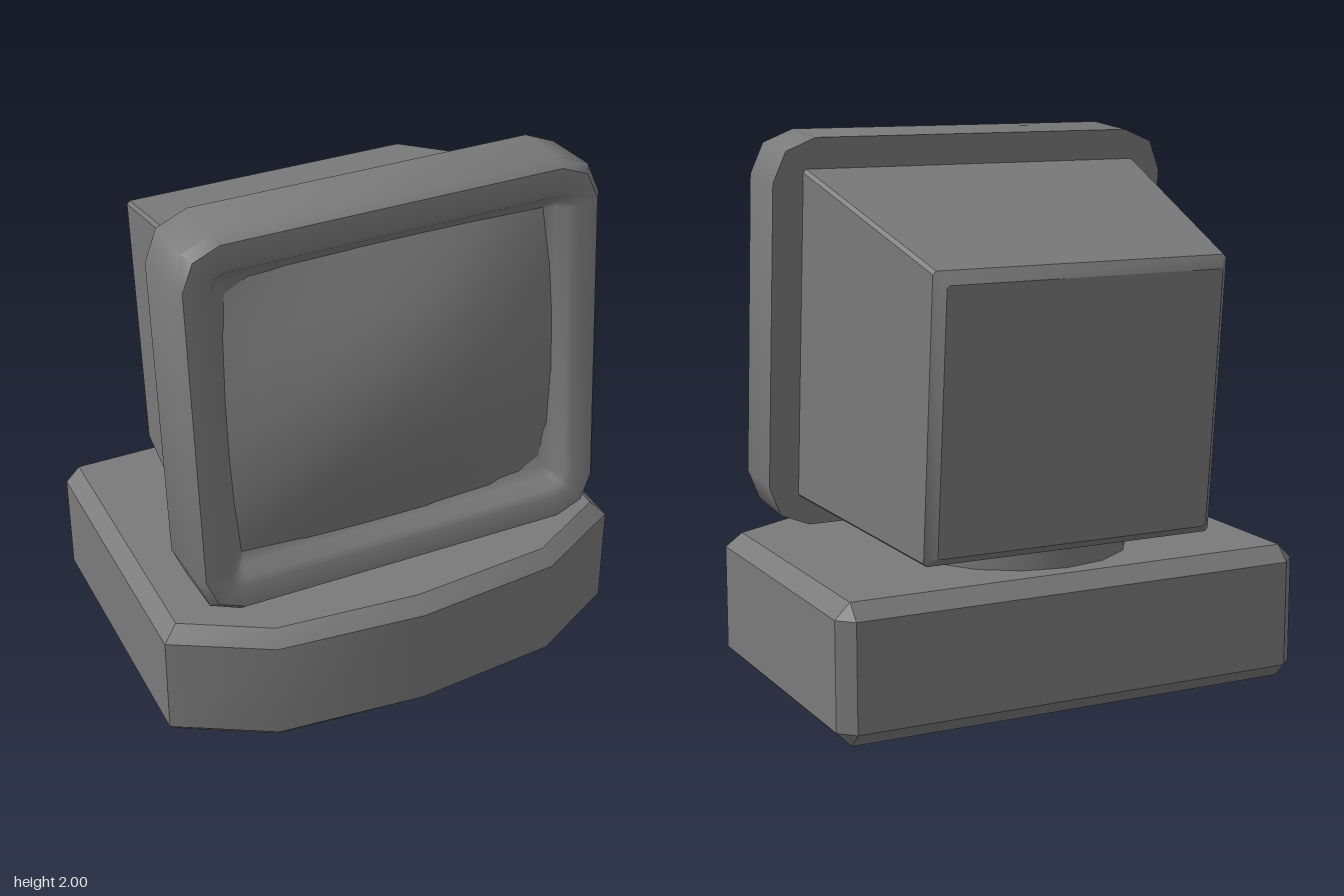
import * as THREE from 'three';
import { toCreasedNormals } from 'three/addons/utils/BufferGeometryUtils.js';

const material = new THREE.MeshStandardMaterial({ color: 0x7a7a7a });

// Rounded rectangle at depth z, counter-clockwise seen from +z
function ring(halfWidth, bottom, top, radius, segments, z) {
  const points = [];
  const corners = [[1, 1], [-1, 1], [-1, -1], [1, -1]];
  corners.forEach(([sx, sy], c) => {
    const cx = sx * (halfWidth - radius);
    const cy = sy > 0 ? top - radius : bottom + radius;
    for (let i = 0; i <= segments; i++) {
      const a = (c + i / segments) * Math.PI / 2;
      points.push(new THREE.Vector3(cx + radius * Math.cos(a), cy + radius * Math.sin(a), z));
    }
  });
  return points;
}

// Skin a list of rings and close both ends
function loft(rings, crease) {
  const positions = [];
  const triangle = (a, b, c) => {
    const area = b.clone().sub(a).cross(c.clone().sub(a)).length();
    if (area > 1e-9) for (const p of [a, b, c]) positions.push(p.x, p.y, p.z);
  };
  const centre = (r) => r.reduce((s, p) => s.add(p), new THREE.Vector3()).divideScalar(r.length);
  const first = rings[0], last = rings[rings.length - 1];
  const startCentre = centre(first), endCentre = centre(last);
  const n = first.length;
  for (let i = 0; i < n; i++) {
    const j = (i + 1) % n;
    for (let k = 0; k + 1 < rings.length; k++) {
      const a = rings[k], b = rings[k + 1];
      triangle(a[i], a[j], b[j]);
      triangle(a[i], b[j], b[i]);
    }
    triangle(startCentre, first[j], first[i]);
    triangle(endCentre, last[i], last[j]);
  }
  const geometry = new THREE.BufferGeometry();
  geometry.setAttribute('position', new THREE.Float32BufferAttribute(positions, 3));
  return toCreasedNormals(geometry, crease);
}

function part(name, geometry) {
  const mesh = new THREE.Mesh(geometry, material);
  mesh.name = name;
  return mesh;
}

// Bevelled foot with a bowed front edge; half outlines run from back to front as [x, z]
function createBase() {
  const outer = [[0.85, -0.675], [0.905, -0.62], [0.905, 0.46], [0.555, 0.655], [0, 0.708]];
  const inner = [[0.85, -0.62], [0.85, -0.62], [0.85, 0.43], [0.54, 0.605], [0, 0.652]];
  const outline = (half, height) => {
    const mirrored = half.slice(0, -1).map(([x, z]) => [-x, z]);
    return [...mirrored, ...half.slice().reverse()].map(([x, z]) => new THREE.Vector3(x, -z, height));
  };
  const rings = [outline(inner, 0), outline(outer, 0.055), outline(outer, 0.445), outline(inner, 0.5)];
  return part('base', loft(rings, 0.6).rotateX(-Math.PI / 2));
}

// Pillow-shaped glass; its rim is buried in the recess wall
function createScreen() {
  const geometry = new THREE.PlaneGeometry(1.28, 1.13, 5, 5);
  const p = geometry.attributes.position;
  for (let i = 0; i < p.count; i++) {
    const u = (p.getX(i) / 0.595) ** 2, v = (p.getY(i) / 0.52) ** 2;
    p.setZ(i, 0.362 - 0.135 * u - 0.145 * v + 0.1 * u * v);
  }
  geometry.computeVertexNormals();
  return part('screen', geometry);
}

function createHead() {
  const head = new THREE.Group();
  head.name = 'monitorHead';

  // Tapered rear housing
  head.add(part('housing', loft([
    ring(0.53, -0.58, 0.36, 0.01, 1, -0.9),
    ring(0.565, -0.615, 0.403, 0.012, 1, -0.862),
    ring(0.683, -0.615, 0.614, 0.012, 1, 0.02),
  ], 0.6)));

  // Front frame with a softly sloped recess around the screen
  head.add(part('bezel', loft([
    ring(0.795, -0.726, 0.722, 0.16, 2, 0),
    ring(0.795, -0.726, 0.722, 0.16, 2, 0.232),
    ring(0.768, -0.698, 0.694, 0.14, 2, 0.27),
    ring(0.69, -0.612, 0.612, 0.07, 2, 0.27),
    ring(0.665, -0.587, 0.587, 0.05, 2, 0.255),
    ring(0.635, -0.557, 0.557, 0.025, 2, 0.215),
    ring(0.595, -0.52, 0.52, 0, 2, 0.182),
  ], 0.82)));

  head.add(createScreen());
  head.position.set(0, 1.2625, 0.2225);
  head.rotation.x = -THREE.MathUtils.degToRad(5);
  return head;
}

export function createModel() {
  const model = new THREE.Group();
  model.name = 'desktopMonitor';

  const neck = part('neck', new THREE.CylinderGeometry(0.42, 0.42, 0.2, 16));
  neck.position.set(0, 0.55, -0.14);

  model.add(createBase(), neck, createHead());
  return model;
}
